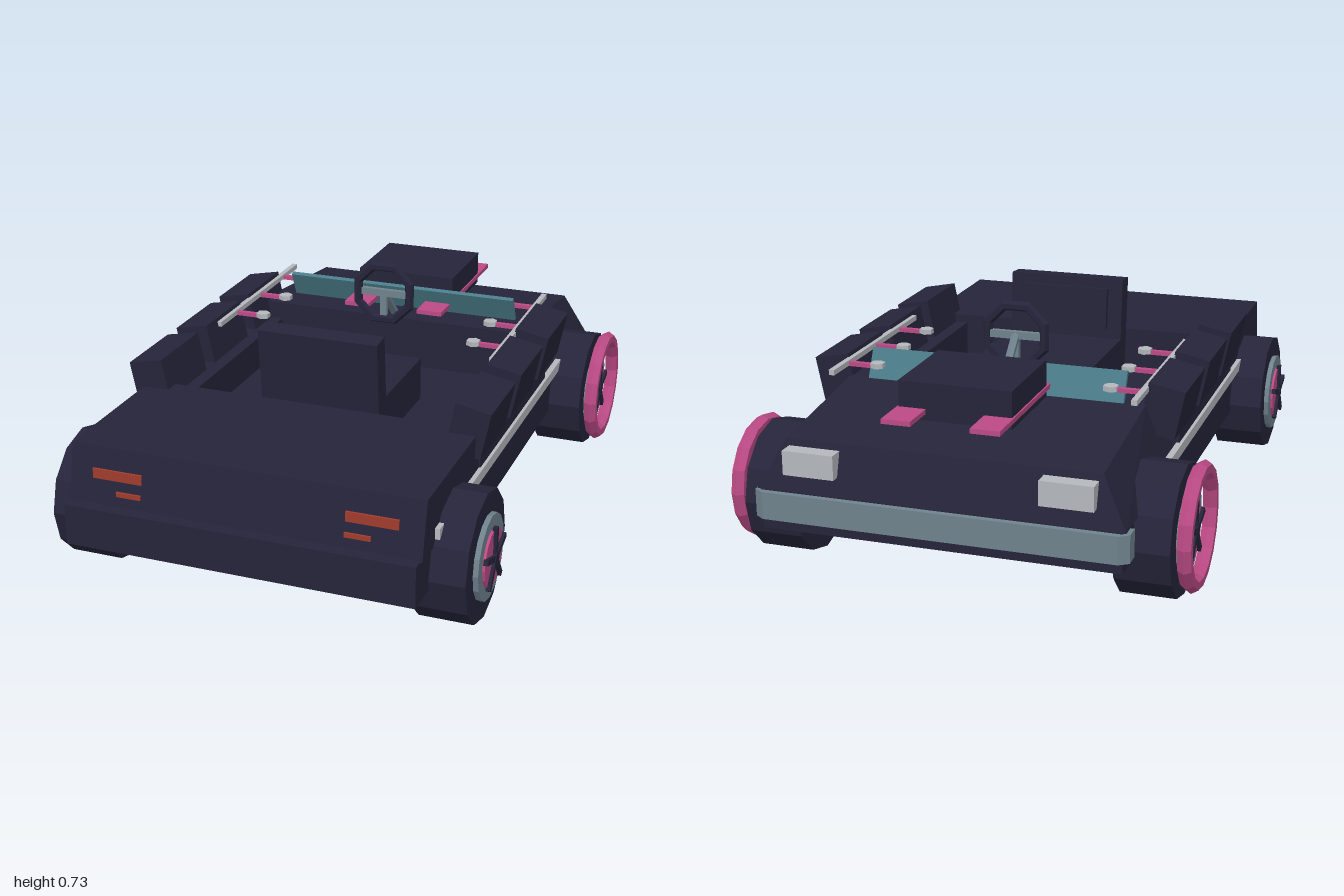
import * as THREE from 'three';

const mat = (name, color) => {
  const m = new THREE.MeshStandardMaterial({ color, flatShading: true });
  m.name = name;
  return m;
};

export function createModel() {
  const car = new THREE.Group();
  car.name = 'openCar';
  const dark = mat('dark body', 0x25243a);
  const pink = mat('pink trim', 0xbb4a85);
  const teal = mat('teal glass', 0x4a7a88);
  const steel = mat('steel grey', 0x6f828c);
  const silver = mat('silver', 0xb4b8bc);
  const red = mat('red lamp', 0xa03c2e);

  const add = (name, geo, material, x = 0, y = 0, z = 0, parent = car) => {
    const mesh = new THREE.Mesh(geo, material);
    mesh.name = name;
    mesh.position.set(x, y, z);
    parent.add(mesh);
    return mesh;
  };
  // Box given by its min and max on each axis
  const box = (name, material, x0, x1, y0, y1, z0, z1, parent = car) =>
    add(name, new THREE.BoxGeometry(x1 - x0, y1 - y0, z1 - z0), material,
      (x0 + x1) / 2, (y0 + y1) / 2, (z0 + z1) / 2, parent);
  // Side profile of [z, y] points extruded across the width
  const profile = (points, width) => {
    const shape = new THREE.Shape(points.map(([z, y]) => new THREE.Vector2(-z, y)));
    const geo = new THREE.ExtrudeGeometry(shape, { depth: width, bevelEnabled: false });
    return geo.translate(0, 0, -width / 2).rotateY(Math.PI / 2);
  };

  // Lower hull with a slightly raised sill, and the body above it
  box('lowerHull', dark, -0.55, 0.55, 0.175, 0.305, -0.98, 1.0);
  add('rearDeck', profile([[0.96, 0.3], [0.92, 0.475], [0.41, 0.475], [0.41, 0.3]], 1.11), dark);
  box('cabinFloor', dark, -0.45, 0.45, 0.3, 0.33, -0.36, 0.42);

  // Hood, narrower at the top
  const hood = profile([[-0.35, 0.3], [-0.35, 0.505], [-0.48, 0.503], [-0.94, 0.45], [-0.985, 0.3]], 1.12);
  const hp = hood.attributes.position;
  for (let i = 0; i < hp.count; i++) {
    if (hp.getY(i) > 0.4) hp.setX(i, hp.getX(i) * 0.86);
  }
  hood.computeVertexNormals();
  add('hood', hood, dark);

  // Hood scoop resting on two strips
  box('hoodScoop', dark, -0.175, 0.175, 0.505, 0.62, -0.82, -0.5);

  // Front bumper with angled corners
  const bumperShape = new THREE.Shape([[-0.57, 0.93], [0.57, 0.93], [0.57, 0.98], [0.54, 1.0], [-0.54, 1.0], [-0.57, 0.98]]
    .map(([x, z]) => new THREE.Vector2(x, z)));
  const bumper = new THREE.ExtrudeGeometry(bumperShape, { depth: 0.085, bevelEnabled: false });
  add('frontBumper', bumper.rotateX(-Math.PI / 2), steel, 0, 0.21, 0);

  // Windshield leaning back
  const glass = add('windshield', new THREE.BoxGeometry(0.83, 0.1, 0.015), teal, 0, 0.546, -0.462);
  glass.rotation.x = 0.45;

  // Seat
  box('seatCushion', dark, -0.2, 0.2, 0.33, 0.475, -0.08, 0.3);
  const back = add('seatBack', new THREE.BoxGeometry(0.4, 0.34, 0.07), dark, 0, 0.51, 0.305);
  back.rotation.x = 0.09;
  const pad = add('seatBackPad', new THREE.BoxGeometry(0.3, 0.14, 0.02), dark, 0, 0.58, 0.268);
  pad.rotation.x = 0.09;

  // Steering wheel with spokes and column
  const steering = new THREE.Group();
  steering.name = 'steeringWheel';
  steering.position.set(0, 0.622, -0.268);
  car.add(steering);
  add('rim', new THREE.TorusGeometry(0.101, 0.017, 6, 8).rotateZ(Math.PI / 8), dark, 0, 0, 0, steering);
  box('crossSpoke', steel, -0.09, 0.09, -0.012, 0.012, -0.012, 0.006, steering);
  box('lowerSpoke', steel, -0.012, 0.012, -0.09, 0, -0.012, 0.006, steering);
  const column = add('column', new THREE.CylinderGeometry(0.014, 0.014, 0.16, 6), steel, 0, -0.055, -0.06, steering);
  column.rotation.x = 0.8;

  // Wheel facing +x, with an optional outer ring
  const wheel = (name, side, z, ring) => {
    const g = new THREE.Group();
    g.name = name;
    g.position.set(0, 0.203, z);
    if (side < 0) g.rotation.y = Math.PI;
    car.add(g);
    const disc = (part, r, x0, x1, n, m) =>
      add(part, new THREE.CylinderGeometry(r, r, x1 - x0, n).rotateZ(Math.PI / 2), m, (x0 + x1) / 2, 0, 0, g);
    disc('tire', 0.203, 0.49, 0.66, 12, dark);
    disc('rimPlate', 0.133, 0.65, 0.676, 16, steel);
    disc('hubPlate', 0.092, 0.67, 0.684, 16, pink);
    disc('hubCap', 0.02, 0.68, 0.696, 8, dark);
    for (let i = 0; i < 5; i++) {
      const a = i * Math.PI * 2 / 5;
      const spoke = add('spoke', new THREE.BoxGeometry(0.014, 0.1, 0.018), dark,
        0.687, Math.cos(a) * 0.05, Math.sin(a) * 0.05, g);
      spoke.rotation.x = a;
    }
    if (ring) {
      add('outerRing', new THREE.TorusGeometry(0.172, 0.024, 6, 16).rotateY(Math.PI / 2), pink, 0.695, 0.015, 0, g);
    }
  };

  for (const s of [-1, 1]) {
    const sideName = s > 0 ? 'left' : 'right';
    const mbox = (name, m, x0, x1, ...rest) =>
      box(sideName + name, m, Math.min(s * x0, s * x1), Math.max(s * x0, s * x1), ...rest);

    // Cabin walls, side stripe and hood strips
    mbox('CabinWall', dark, 0.42, 0.56, 0.3, 0.445, -0.36, 0.42);
    const stripe = mbox('SideStripe', silver, 0.55, 0.57, 0.318, 0.352, -0.6, 0.85);
    stripe.rotation.x = -0.004;
    mbox('HoodStrip', pink, 0.09, 0.18, 0.525, 0.54, -0.94, -0.36);

    // Padded blocks along the sides, leaning outward
    for (const z of [0.33, -0.005, -0.345]) {
      const block = add(sideName + 'SideBlock', new THREE.BoxGeometry(0.115, 0.155, 0.27), dark, s * 0.53, 0.487, z);
      block.rotation.z = -s * 0.2;
    }

    // Rail with short levers
    mbox('Rail', silver, 0.472, 0.49, 0.545, 0.562, -0.62, 0.05);
    for (const z of [-0.5, -0.29, -0.09]) {
      mbox('Lever', pink, 0.4, 0.475, 0.543, 0.556, z - 0.009, z + 0.009);
      add(sideName + 'LeverKnob', new THREE.CylinderGeometry(0.024, 0.024, 0.016, 6), silver, s * 0.378, 0.553, z);
    }

    // Lamps
    mbox('Headlight', silver, 0.31, 0.47, 0.355, 0.43, -0.995, -0.94);
    mbox('TailLight', red, 0.32, 0.48, 0.345, 0.41, 0.91, 0.942);
    mbox('TailLightCorner', red, 0.32, 0.4, 0.335, 0.35, 0.925, 0.955);

    wheel(sideName + 'FrontWheel', s, -0.68, true);
    wheel(sideName + 'RearWheel', s, 0.685, false);
  }
  return car;
}
